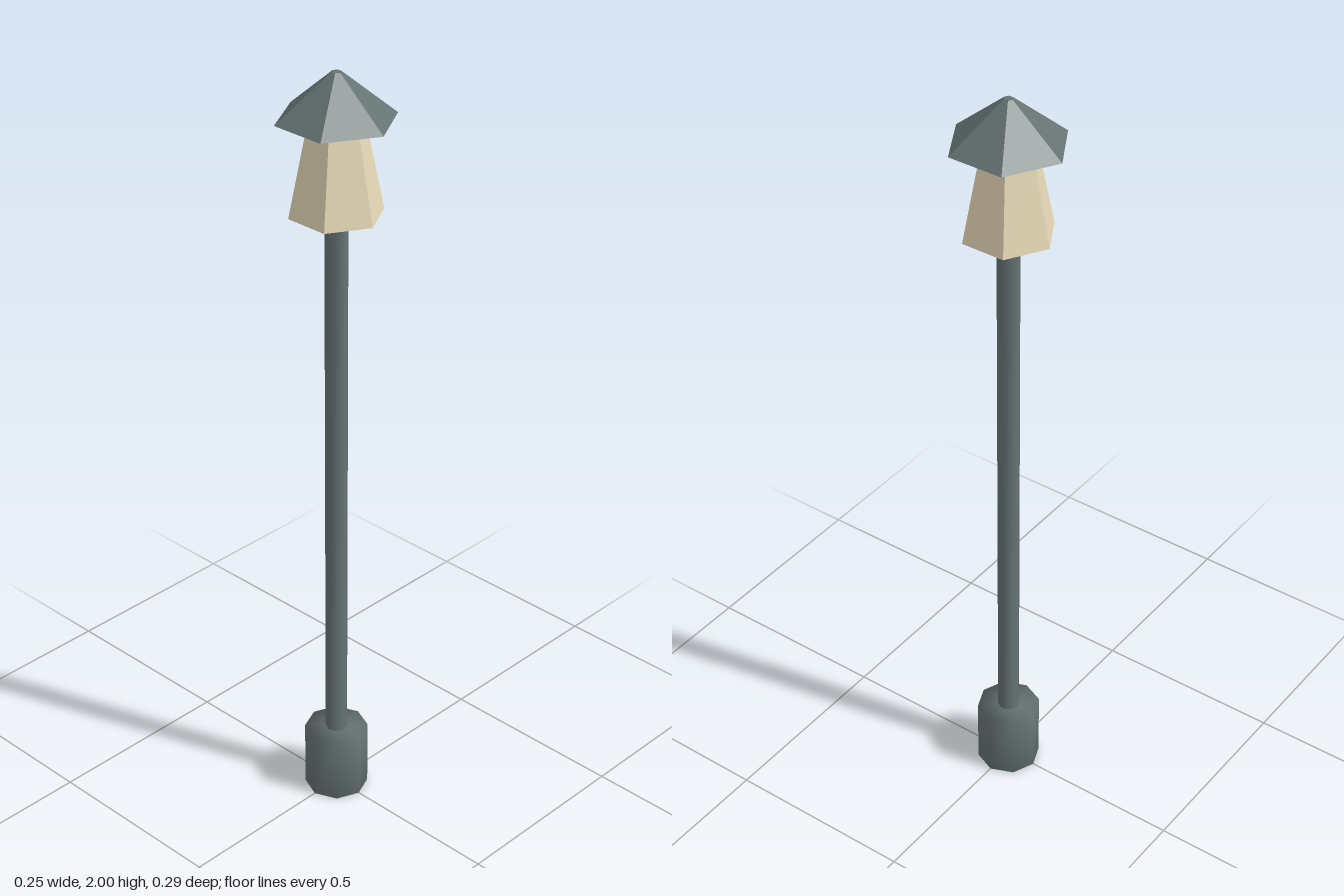
import * as THREE from 'three';
import { mergeVertices } from 'three/addons/utils/BufferGeometryUtils.js';

const metal = 0x667373;
const cream = 0xe8d9b8;

// Upright tapered prism between two heights, either faceted or softly shaded
function prism(name, rTop, rBottom, y0, y1, sides, color, smooth) {
  let geometry = new THREE.CylinderGeometry(rTop, rBottom, y1 - y0, sides);
  if (smooth) {
    // Share normals between sides and caps
    geometry.deleteAttribute('normal');
    geometry.deleteAttribute('uv');
    geometry = mergeVertices(geometry);
    geometry.computeVertexNormals();
  }
  const material = new THREE.MeshStandardMaterial({ color });
  material.flatShading = !smooth;
  const mesh = new THREE.Mesh(geometry, material);
  mesh.name = name;
  mesh.position.y = (y0 + y1) / 2;
  return mesh;
}

export function createModel() {
  const group = new THREE.Group();
  group.name = 'lampPost';
  group.add(
    prism('base', 0.082, 0.082, 0, 0.18, 8, metal, true),
    prism('pole', 0.028, 0.028, 0.18, 1.65, 8, metal, true),
    // Six-sided lantern widening downward, under a pointed cap
    prism('lantern', 0.068, 0.116, 1.65, 1.885, 6, cream, false),
    prism('roof', 0.012, 0.147, 1.885, 2, 6, metal, false)
  );
  return group;
}
